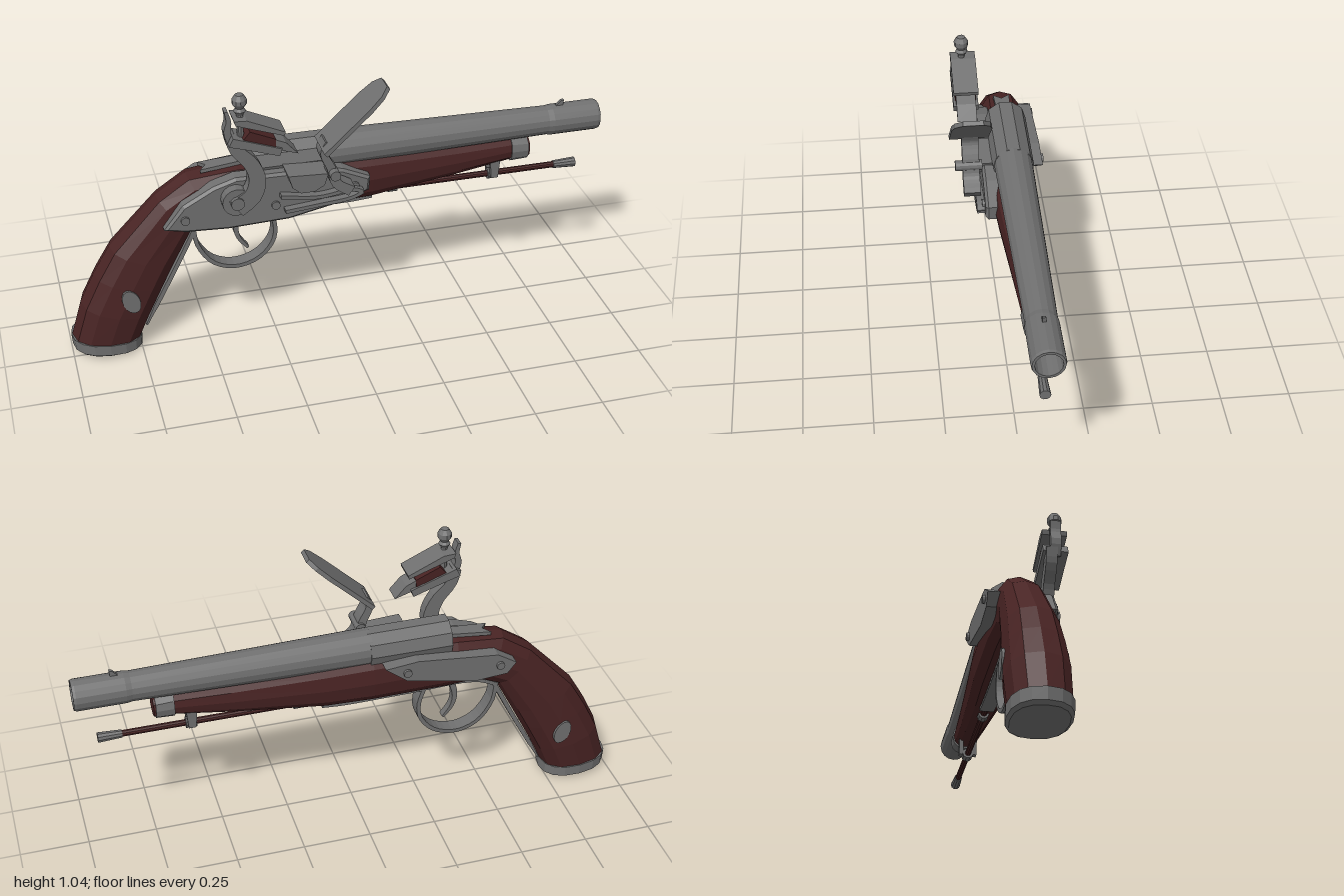
import * as THREE from 'three';

const AXIS = -0.052; // z of the barrel and stock centre line

export function createModel() {
  const model = new THREE.Group();
  model.name = 'flintlockPistol';
  const metal = new THREE.MeshStandardMaterial({ color: 0x707070, flatShading: true });
  metal.name = 'steel grey';
  const wood = new THREE.MeshStandardMaterial({ color: 0x482323, flatShading: true });
  wood.name = 'dark red wood';

  const add = (name, geometry, material = metal) => {
    const mesh = new THREE.Mesh(geometry, material);
    mesh.name = name;
    model.add(mesh);
    return mesh;
  };

  // Loft through sections [topX, topY, bottomX, bottomY, halfWidth]
  const loft = (sections, sides = 12) => {
    const rings = sections.map(([tx, ty, bx, by, w]) => Array.from({ length: sides }, (_, j) => {
      const t = (j / sides) * Math.PI * 2;
      const soft = (v) => Math.sign(v) * Math.abs(v) ** 0.85;
      const c = soft(Math.cos(t)), s = soft(Math.sin(t));
      return [(tx + bx) / 2 + c * (tx - bx) / 2, (ty + by) / 2 + c * (ty - by) / 2, AXIS + s * w];
    }));
    const pos = [];
    const tri = (...p) => p.forEach((v) => pos.push(...v));
    const mid = ([tx, ty, bx, by]) => [(tx + bx) / 2, (ty + by) / 2, AXIS];
    const last = rings.length - 1;
    for (let j = 0; j < sides; j++) {
      const k = (j + 1) % sides;
      for (let i = 0; i < last; i++) {
        tri(rings[i][j], rings[i][k], rings[i + 1][k]);
        tri(rings[i][j], rings[i + 1][k], rings[i + 1][j]);
      }
      tri(mid(sections[0]), rings[0][k], rings[0][j]);
      tri(mid(sections[last]), rings[last][j], rings[last][k]);
    }
    const g = new THREE.BufferGeometry();
    g.setAttribute('position', new THREE.Float32BufferAttribute(pos, 3));
    g.computeVertexNormals();
    return g;
  };

  // Flat outline in the xy plane, extruded from z0 to z1
  const plate = (points, z0, z1, bevel = 0) => {
    const shape = new THREE.Shape(points.map(([x, y]) => new THREE.Vector2(x, y)));
    return new THREE.ExtrudeGeometry(shape, {
      depth: z1 - z0 - bevel, bevelEnabled: bevel > 0, bevelThickness: bevel,
      bevelSize: bevel, bevelOffset: -bevel, bevelSegments: 1,
    }).translate(0, 0, z0);
  };

  // Curved strip following a path; thickness runs from t0 to t1
  const ribbon = (path, t0, t1, z0, z1, steps = 16) => {
    const curve = new THREE.CatmullRomCurve3(path.map(([x, y]) => new THREE.Vector3(x, y, 0)));
    const one = [], two = [];
    for (let i = 0; i <= steps; i++) {
      const u = i / steps, p = curve.getPoint(u), d = curve.getTangent(u);
      const h = (t0 + (t1 - t0) * u) / 2;
      one.push([p.x - d.y * h, p.y + d.x * h]);
      two.unshift([p.x + d.y * h, p.y - d.x * h]);
    }
    return plate([...one, ...two], z0, z1);
  };

  const rodX = (r, x0, x1, y, sides = 10, r1 = r) =>
    new THREE.CylinderGeometry(r1, r, x1 - x0, sides).rotateZ(-Math.PI / 2).translate((x0 + x1) / 2, y, AXIS);
  const rodZ = (r, x, y, z0, z1, sides = 12) =>
    new THREE.CylinderGeometry(r, r, z1 - z0, sides).rotateX(Math.PI / 2).translate(x, y, (z0 + z1) / 2);

  // Wooden stock from butt to fore-end
  add('stock', loft([
    [-0.997, 0.07, -0.745, 0.05, 0.1],
    [-0.955, 0.21, -0.705, 0.14, 0.105],
    [-0.9, 0.32, -0.65, 0.25, 0.1],
    [-0.837, 0.425, -0.607, 0.334, 0.093],
    [-0.66, 0.61, -0.535, 0.47, 0.078],
    [-0.55, 0.685, -0.45, 0.505, 0.076],
    [-0.37, 0.705, -0.34, 0.5, 0.085],
    [-0.05, 0.7, -0.05, 0.497, 0.085],
    [0.12, 0.69, 0.12, 0.5, 0.075],
    [0.45, 0.67, 0.45, 0.54, 0.056],
    [0.66, 0.662, 0.66, 0.572, 0.046],
    [0.732, 0.655, 0.732, 0.575, 0.043],
  ]), wood);
  add('buttCap', loft([
    [-0.985, 0.02, -0.755, 0.008, 0.092],
    [-0.997, 0.032, -0.742, 0.014, 0.103],
    [-1, 0.075, -0.742, 0.054, 0.104],
  ], 16));
  add('foreEndBand', loft([
    [0.66, 0.667, 0.66, 0.566, 0.051],
    [0.725, 0.661, 0.725, 0.569, 0.049],
  ]));

  // Barrel: faceted breech, tapered tube, muzzle ring and hollow bore
  add('breech', rodX(0.076, -0.34, -0.04, 0.704, 10, 0.074));
  const profile = [[0, -0.06], [0.069, -0.05], [0.054, 0.8], [0.057, 0.82], [0.057, 0.99],
    [0.054, 1], [0.045, 1], [0.043, 0.9], [0, 0.9]];
  add('barrel', new THREE.LatheGeometry(profile.map(([r, y]) => new THREE.Vector2(r, y)), 16)
    .rotateZ(-Math.PI / 2).translate(0, 0.708, AXIS));
  add('frontSight', plate([[0.835, 0.76], [0.865, 0.76], [0.868, 0.785], [0.856, 0.782]], AXIS - 0.006, AXIS + 0.006));

  // Forked tang behind the breech
  const tang = plate([[-0.17, -0.03], [0, -0.024], [0, 0.024], [-0.17, 0.03], [-0.145, 0]], 0, 0.014)
    .rotateX(-Math.PI / 2).rotateZ(0.09);
  add('tang', tang.translate(-0.33, 0.704, AXIS));

  // Lock plate and opposite side plate
  add('lockPlate', plate([[-0.65, 0.52], [-0.58, 0.61], [-0.47, 0.67], [-0.39, 0.695], [-0.07, 0.69],
    [0, 0.675], [0.1, 0.63], [0.095, 0.575], [0, 0.54], [-0.2, 0.5], [-0.42, 0.493], [-0.57, 0.502]], 0.005, 0.06, 0.01));
  add('sidePlate', plate([[-0.08, 0.672], [-0.16, 0.61], [-0.42, 0.558], [-0.54, 0.568],
    [-0.572, 0.61], [-0.5, 0.655], [-0.2, 0.685]], -0.163, -0.115));
  for (const [x, y] of [[-0.575, 0.555], [-0.25, 0.57], [0.04, 0.605]]) add('lockScrew', rodZ(0.016, x, y, 0.05, 0.069));
  for (const [x, y] of [[-0.51, 0.61], [-0.16, 0.645]]) add('sidePlateScrew', rodZ(0.015, x, y, -0.173, -0.15));

  // Priming pan and frizzen spring
  add('pan', plate([[-0.215, 0.708], [-0.07, 0.7], [-0.085, 0.655], [-0.12, 0.635], [-0.17, 0.635], [-0.2, 0.66]], 0.02, 0.115));
  add('springUpperLeaf', ribbon([[-0.235, 0.612], [-0.1, 0.593], [0.03, 0.605], [0.065, 0.59]], 0.014, 0.014, 0.05, 0.088));
  add('springLowerLeaf', ribbon([[-0.22, 0.55], [-0.1, 0.56], [0.02, 0.572], [0.065, 0.59]], 0.014, 0.014, 0.05, 0.088));

  // Cock with jaws, flint and jaw screw
  add('cockHub', rodZ(0.052, -0.395, 0.622, 0.05, 0.098, 16));
  add('cockScrew', rodZ(0.024, -0.395, 0.622, 0.09, 0.113));
  add('cockNeck', ribbon([[-0.4, 0.6], [-0.34, 0.645], [-0.322, 0.71], [-0.345, 0.775], [-0.395, 0.835], [-0.415, 0.89]],
    0.075, 0.036, 0.066, 0.106));
  add('cockSpur', ribbon([[-0.405, 0.86], [-0.425, 0.91], [-0.418, 0.95], [-0.426, 0.99]], 0.03, 0.012, 0.08, 0.118, 8));
  add('lowerJaw', plate([[-0.425, 0.87], [-0.41, 0.9], [-0.36, 0.882], [-0.24, 0.838], [-0.25, 0.812], [-0.37, 0.853]], 0.055, 0.145));
  add('upperJaw', plate([[-0.405, 0.965], [-0.36, 0.962], [-0.228, 0.902], [-0.232, 0.888], [-0.4, 0.948]], 0.055, 0.145));
  add('flintWrap', plate([[-0.375, 0.885], [-0.35, 0.915], [-0.26, 0.875], [-0.262, 0.84]], 0.062, 0.138), wood);
  add('flintEdge', plate([[-0.265, 0.873], [-0.225, 0.855], [-0.183, 0.808], [-0.265, 0.835]], 0.065, 0.135));
  const jawScrew = [[0, 0.875], [0.012, 0.875], [0.012, 0.97], [0.022, 0.985], [0.014, 0.995], [0.026, 1.012],
    [0.026, 1.028], [0.015, 1.045], [0, 1.048]];
  add('jawScrew', new THREE.LatheGeometry(jawScrew.map(([r, y]) => new THREE.Vector2(r, y)), 10).translate(-0.377, 0, 0.105));

  // Frizzen: curved arm with a broad rounded striking face
  add('frizzenArm', ribbon([[0.01, 0.625], [-0.045, 0.665], [-0.065, 0.73], [-0.09, 0.79], [-0.075, 0.83]], 0.04, 0.022, 0.07, 0.13));
  add('frizzenScrew', rodZ(0.019, -0.055, 0.708, 0.06, 0.156));
  const faceOutline = [[0, -0.07], [0.22, -0.07], [0.28, -0.06], [0.315, -0.035], [0.315, 0.035],
    [0.28, 0.06], [0.22, 0.07], [0, 0.07]];
  add('frizzenFace', plate(faceOutline, -0.008, 0.008).rotateX(-Math.PI / 2).rotateZ(0.75)
    .translate(-0.095, 0.805, 0.104));

  // Trigger, guard and the straps joined to it
  const strap = [AXIS - 0.027, AXIS + 0.027];
  add('triggerGuard', ribbon([[-0.535, 0.47], [-0.52, 0.385], [-0.465, 0.308], [-0.385, 0.28], [-0.3, 0.303],
    [-0.245, 0.365], [-0.235, 0.43], [-0.255, 0.5]], 0.015, 0.015, ...strap, 24));
  add('trigger', ribbon([[-0.36, 0.51], [-0.378, 0.44], [-0.368, 0.39], [-0.335, 0.345]], 0.024, 0.01, AXIS - 0.014, AXIS + 0.014, 8));
  add('bellyStrap', ribbon([[-0.53, 0.465], [-0.45, 0.496], [-0.2, 0.495], [0.05, 0.493], [0.13, 0.498]], 0.014, 0.012, ...strap));
  add('gripStrap', ribbon([[-0.525, 0.47], [-0.595, 0.33], [-0.642, 0.24], [-0.69, 0.15]], 0.016, 0.016, ...strap));
  for (const side of [-1, 1]) { // forked lower end of the grip strap
    const z = AXIS + side * 0.018;
    add('gripStrapFork', ribbon([[-0.685, 0.16], [-0.725, 0.08]], 0.016, 0.006, z - 0.009, z + 0.009, 2));
  }

  // Ramrod with its tip, entry pipe and hanger
  add('ramrod', rodX(0.012, 0.1, 0.87, 0.513), wood);
  add('ramrodTip', rodX(0.015, 0.845, 0.93, 0.513, 10, 0.019));
  add('entryPipe', rodX(0.02, 0.195, 0.23, 0.513));
  add('hangerRing', rodX(0.021, 0.582, 0.62, 0.513));
  for (const side of [-1, 1]) {
    const z = AXIS + side * 0.026;
    add('hangerArm', plate([[0.588, 0.51], [0.614, 0.51], [0.622, 0.6], [0.58, 0.6]], z - 0.008, z + 0.008));
  }

  // Oval inlays on both sides of the grip
  for (const side of [-1, 1]) {
    const inlay = add('gripInlay', rodZ(1, 0, 0, -0.01, 0.01, 16));
    inlay.scale.set(0.031, 0.049, 1);
    inlay.rotation.z = 0.35;
    inlay.position.set(-0.783, 0.242, AXIS + side * 0.096);
  }
  return model;
}
